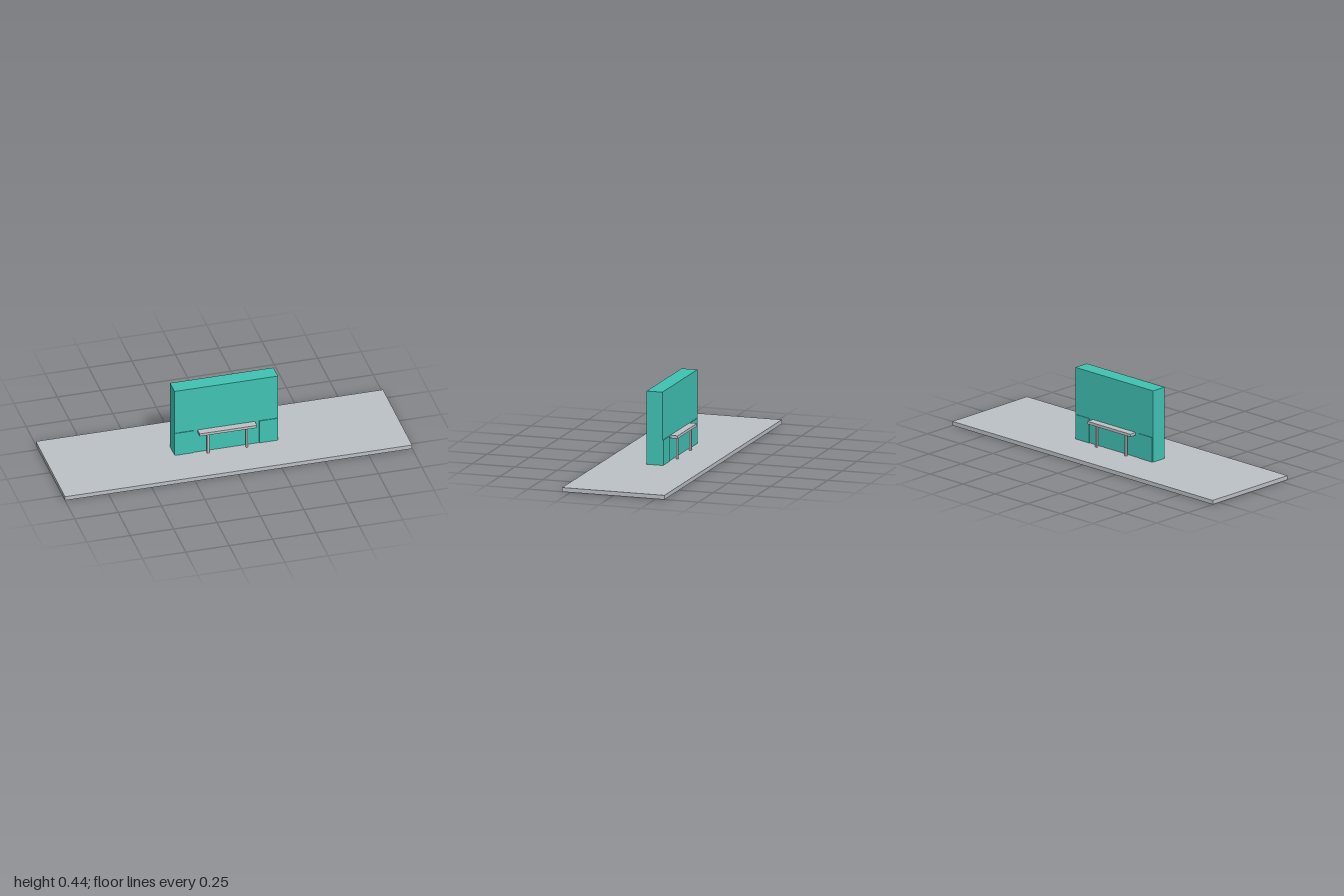
import * as THREE from 'three';

const grey = new THREE.MeshStandardMaterial({ color: 0xbbc0c5 });
grey.name = 'lightGrey';
const teal = new THREE.MeshStandardMaterial({ color: 0x40c2b3 });
teal.name = 'teal';

// Box given by its lower and upper limits on each axis
function box(name, material, [x0, x1], [y0, y1], [z0, z1]) {
  const mesh = new THREE.Mesh(new THREE.BoxGeometry(x1 - x0, y1 - y0, z1 - z0), material);
  mesh.position.set((x0 + x1) / 2, (y0 + y1) / 2, (z0 + z1) / 2);
  mesh.name = name;
  return mesh;
}

export function createModel() {
  const model = new THREE.Group();
  model.name = 'wallWithBenches';

  const floor = 0.024;
  const seatBottom = 0.151;
  const seatTop = 0.167;
  const wallZ = 0.046;

  // Ground slab and the wall standing in it
  model.add(box('baseSlab', grey, [-1, 1], [0, floor], [-0.3, 0.3]));
  model.add(box('wall', teal, [-0.298, 0.298], [0.01, 0.441], [-wallZ, wallZ]));

  // One bench and a pair of raised panels on each face of the wall
  for (const side of [1, -1]) {
    const span = (near, far) => (side > 0 ? [near, far] : [-far, -near]);
    const bench = new THREE.Group();
    bench.name = side > 0 ? 'frontBench' : 'backBench';
    bench.add(box('seat', grey, [-0.165, 0.165], [seatBottom, seatTop], span(wallZ - 0.005, 0.09)));

    for (const end of [1, -1]) {
      const legX = end * 0.112;
      bench.add(box('leg', grey, [legX - 0.006, legX + 0.006], [floor - 0.004, seatBottom], span(0.064, 0.076)));

      const panelX = end * 0.2415;
      model.add(box('raisedPanel', teal, [panelX - 0.0515, panelX + 0.0515], [floor - 0.004, seatTop], span(wallZ - 0.005, 0.05)));
    }
    model.add(bench);
  }
  return model;
}
